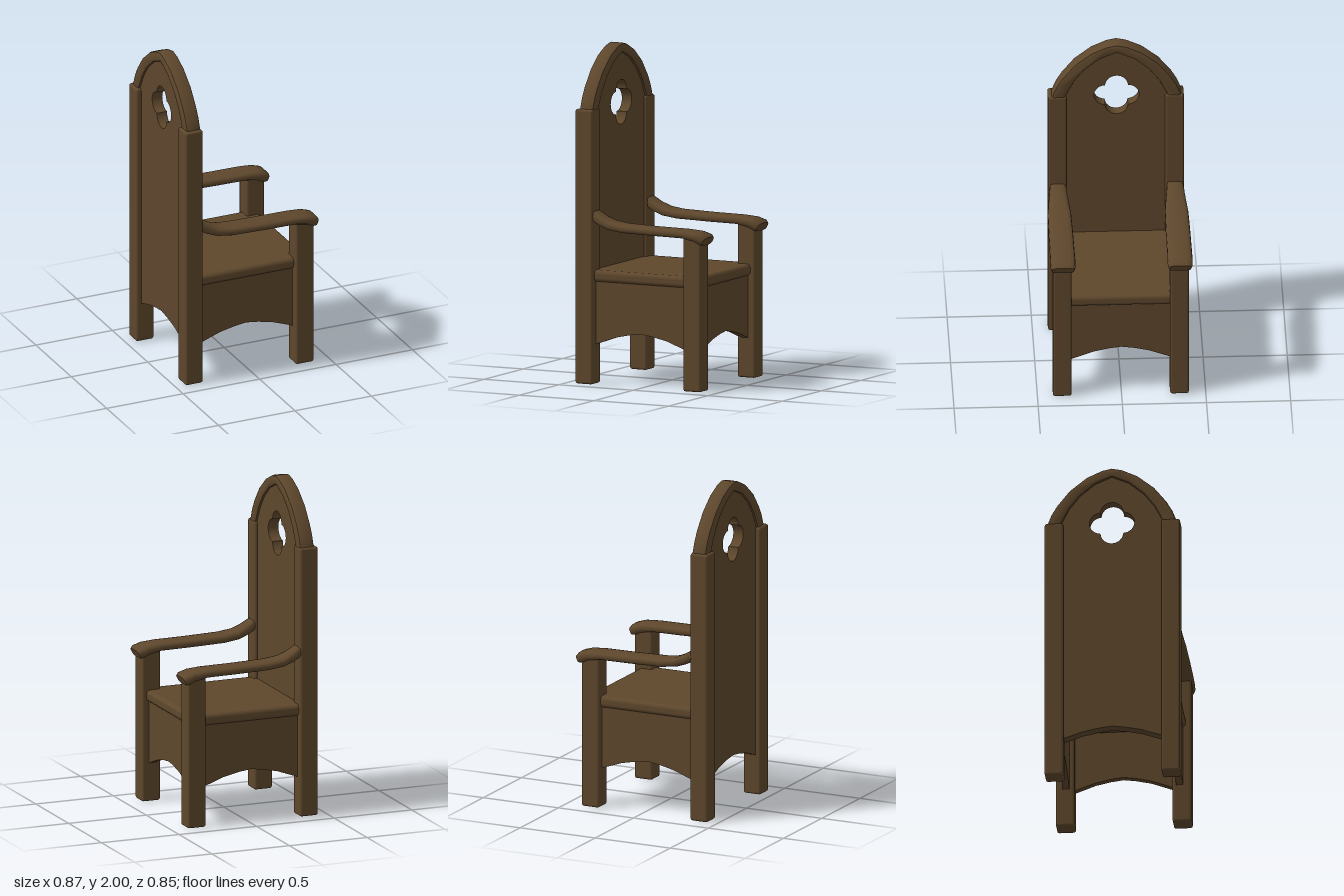
import * as THREE from 'three';
import { toCreasedNormals } from 'three/addons/utils/BufferGeometryUtils.js';
import { RoundedBoxGeometry } from 'three/addons/geometries/RoundedBoxGeometry.js';

const wood = new THREE.MeshStandardMaterial({ color: 0x5e472c });
wood.name = 'dark wood';

const POST_Z = 0.348;
const V = (p) => new THREE.Vector2(p[0], p[1]);
const mirror = (pts) => [...pts, ...pts.slice(0, -1).reverse().map(([u, y]) => [-u, y])];

function part(name, geometry, x = 0, y = 0, z = 0) {
  const mesh = new THREE.Mesh(geometry, wood);
  mesh.name = name;
  mesh.position.set(x, y, z);
  return mesh;
}

// Flat board centred on its thickness; across = true turns it to face along x
function board(shape, depth, across, bevel = 0) {
  const geo = new THREE.ExtrudeGeometry(shape, {
    depth: depth - 2 * bevel, bevelEnabled: bevel > 0, bevelSize: bevel,
    bevelThickness: bevel, bevelOffset: -bevel, bevelSegments: 2, curveSegments: 8,
  });
  geo.translate(0, 0, -depth / 2 + bevel);
  if (across) geo.rotateY(Math.PI / 2);
  return toCreasedNormals(geo, 0.7);
}

function box(x0, x1, y0, y1, z0, z1, r) {
  const geo = new RoundedBoxGeometry(x1 - x0, y1 - y0, z1 - z0, 2, r);
  geo.translate((x0 + x1) / 2, (y0 + y1) / 2, (z0 + z1) / 2);
  return geo;
}

// Lower edge shared by the skirts and the back: a shallow arch
const archEdge = (w) => mirror([[-w, 0.235], [-w * 0.55, 0.285], [-w * 0.25, 0.305], [0, 0.315]]);

function skirtShape(w) {
  return new THREE.Shape([[w, 0.63], [-w, 0.63], ...archEdge(w)].map(V));
}

// Armrest lofted through rounded sections: x, y, half thickness, half width, tilt
function armGeometry() {
  const stations = [
    [-0.335, 1.012, 0.03, 0.048, 0.5], [-0.28, 0.98, 0.03, 0.055, 0.5],
    [-0.22, 0.957, 0.028, 0.062, 0.25], [-0.13, 0.945, 0.026, 0.07, 0.05],
    [0.08, 0.94, 0.025, 0.073, 0], [0.28, 0.938, 0.025, 0.074, 0.02],
    [0.36, 0.928, 0.03, 0.075, 0.2], [0.405, 0.911, 0.034, 0.074, 0.42],
    [0.421, 0.902, 0.027, 0.066, 0.45],
  ];
  const N = 16, pos = [], idx = [];
  const soft = (v) => Math.sign(v) * Math.abs(v) ** 0.6;
  for (const [x, y, t, w, tilt] of stations) {
    for (let j = 0; j < N; j++) {
      const a = (j / N) * Math.PI * 2, h = soft(Math.cos(a)) * t;
      pos.push(x + h * Math.sin(tilt), y + h * Math.cos(tilt), soft(Math.sin(a)) * w);
    }
  }
  const last = stations.length - 1;
  for (let i = 0; i < last; i++) {
    for (let j = 0; j < N; j++) {
      const k = (j + 1) % N, a = i * N + j, b = i * N + k;
      idx.push(a, b, a + N, b, b + N, a + N);
    }
  }
  // End caps
  for (let j = 1; j < N - 1; j++) {
    idx.push(0, j + 1, j, last * N, last * N + j, last * N + j + 1);
  }
  const geo = new THREE.BufferGeometry();
  geo.setAttribute('position', new THREE.Float32BufferAttribute(pos, 3));
  geo.setIndex(idx);
  return toCreasedNormals(geo, 0.9);
}

export function createModel() {
  const chair = new THREE.Group();
  chair.name = 'chair';

  // Posts and armrests on both sides
  for (const [side, s] of [['Left', -1], ['Right', 1]]) {
    const z = s * POST_Z + 0.004;
    chair.add(part('backPost' + side, box(-0.44, -0.325, 0, 1.645, z - 0.056, z + 0.056, 0.014)));
    chair.add(part('frontPost' + side, box(0.282, 0.4, 0, 0.93, z - 0.056, z + 0.056, 0.014)));
    chair.add(part('armrest' + side, armGeometry(), 0, 0, s * POST_Z));
    chair.add(part('sideSkirt' + side, board(skirtShape(0.31), 0.04, false), -0.022, 0, s * 0.338));
  }

  // Seat and front skirt
  chair.add(part('seat', box(-0.37, 0.372, 0.612, 0.682, -0.375, 0.375, 0.025)));
  chair.add(part('frontSkirt', board(skirtShape(0.3), 0.04, true), 0.335, 0, 0));

  // Pointed arch frame on top of the back
  const outer = mirror([[0.388, 1.6], [0.385, 1.645], [0.36, 1.71], [0.325, 1.77], [0.25, 1.865],
    [0.15, 1.945], [0.06, 1.987], [0, 2]]);
  const inner = mirror([[0.31, 1.6], [0.303, 1.645], [0.255, 1.74], [0.19, 1.825],
    [0.1, 1.9], [0, 1.943]]);
  const archShape = new THREE.Shape([...outer, ...inner.slice().reverse()].map(V));
  chair.add(part('archFrame', board(archShape, 0.093, true, 0.014), -0.376, 0, 0));

  // Back panel with a four-lobed opening
  const panelTop = mirror([[0.32, 1.645], [0.27, 1.75], [0.2, 1.84], [0.11, 1.915], [0, 1.96]]);
  const panelShape = new THREE.Shape([...archEdge(0.32), ...panelTop].map(V));
  const hole = new THREE.Path();
  const off = 0.066, r = 0.068, cy = 1.645;
  const t = (off + Math.sqrt(2 * r * r - off * off)) / 2;
  const half = Math.atan2(t, t - off);
  for (let i = 0; i < 4; i++) {
    const d = (i * Math.PI) / 2;
    hole.absarc(off * Math.cos(d), cy + off * Math.sin(d), r, d - half, d + half, false);
  }
  panelShape.holes.push(hole);
  chair.add(part('backPanel', board(panelShape, 0.066, true), -0.376, 0, 0));

  return chair;
}
